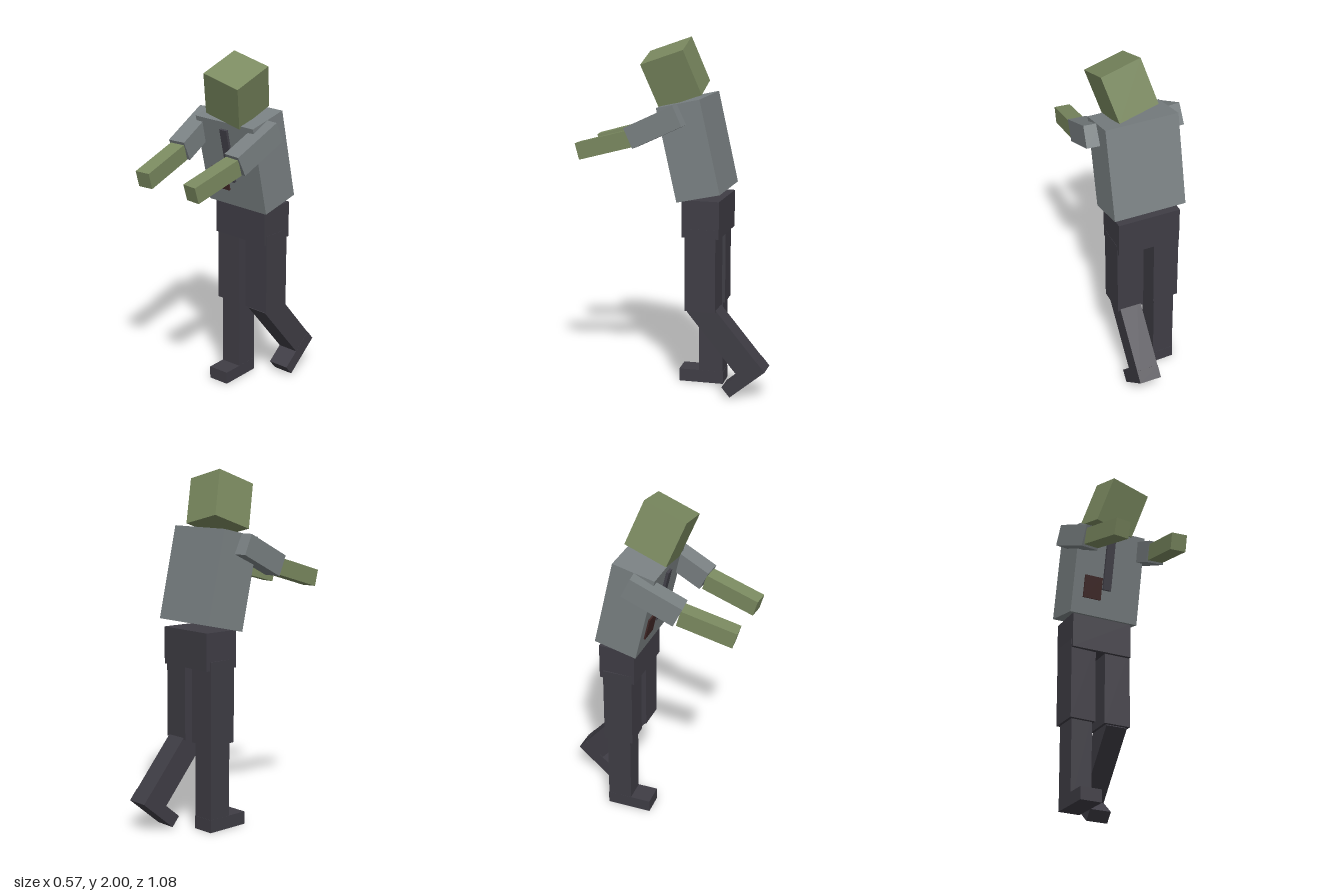
import * as THREE from 'three';

const mat = (name, color) => {
  const m = new THREE.MeshStandardMaterial({ color });
  m.name = name;
  return m;
};

export function createModel() {
  const skin = mat('greenSkin', 0x7b8a60);
  const shirt = mat('greyShirt', 0x7a8183);
  const trousers = mat('darkTrousers', 0x3f3d45);
  const tieDark = mat('darkTie', 0x43424a);
  const stain = mat('stainRed', 0x412827);

  const model = new THREE.Group();
  model.name = 'walkingFigure';

  // Box with size, centre and rotation (yaw applied before pitch)
  const box = (name, material, size, pos, rot = [0, 0, 0], parent = model, order = 'YXZ') => {
    const mesh = new THREE.Mesh(new THREE.BoxGeometry(...size), material);
    mesh.name = name;
    mesh.position.set(...pos);
    mesh.rotation.set(...rot, order);
    parent.add(mesh);
    return mesh;
  };

  // Head, tipped forward and to one side
  box('head', skin, [0.237, 0.269, 0.256], [0.04, 1.807, 0.012], [0.339, -0.02, -0.244], model, 'XYZ');

  // Torso leaning forward, with tie and stain on the chest
  const torso = new THREE.Group();
  torso.name = 'torso';
  torso.position.set(0, 1.4, -0.106);
  torso.rotation.x = 0.22;
  model.add(torso);
  box('shirt', shirt, [0.42, 0.528, 0.25], [0, 0, 0], [0, 0, 0], torso);
  box('tie', tieDark, [0.05, 0.322, 0.03], [-0.004, 0.06, 0.125], [0, 0, 0], torso);
  box('stain', stain, [0.11, 0.133, 0.018], [-0.09, -0.1, 0.125], [0, 0, 0], torso);

  // Arms stretched forward
  const arms = [
    { side: 'right', upperX: -0.216, foreX: -0.184, yaw: 0.108 },
    { side: 'left', upperX: 0.219, foreX: 0.192, yaw: -0.08 },
  ];
  for (const { side, upperX, foreX, yaw } of arms) {
    box(side + 'UpperArm', shirt, [0.104, 0.123, 0.316], [upperX, 1.533, 0.073], [0.44, yaw, 0]);
    box(side + 'Forearm', skin, [0.09, 0.095, 0.32], [foreX, 1.417, 0.371], [0.27, yaw, 0]);
  }

  // Hips and thighs
  box('hips', trousers, [0.365, 0.21, 0.212], [0, 1.02, -0.169]);
  box('rightThigh', trousers, [0.155, 0.47, 0.172], [-0.11, 0.73, -0.169], [0, 0.05, 0]);
  box('leftThigh', trousers, [0.158, 0.47, 0.175], [0.105, 0.73, -0.169]);

  // Lower legs: shin and foot share a group whose origin is the sole under the ankle
  const lowerLeg = (name, pos, pitch, yaw) => {
    const leg = new THREE.Group();
    leg.name = name;
    leg.position.set(...pos);
    leg.rotation.set(pitch, yaw, 0, 'YXZ');
    box('shin', trousers, [0.127, 0.53, 0.14], [0, 0.265, 0], [0, 0, 0], leg);
    box('foot', trousers, [0.129, 0.073, 0.26], [0, 0.0365, 0.058], [0, 0, 0], leg);
    model.add(leg);
  };
  lowerLeg('rightLowerLeg', [-0.108, 0, -0.172], 0, 0.04);
  lowerLeg('leftLowerLeg', [0.105, 0.125, -0.484], 0.697, 0);

  return model;
}
